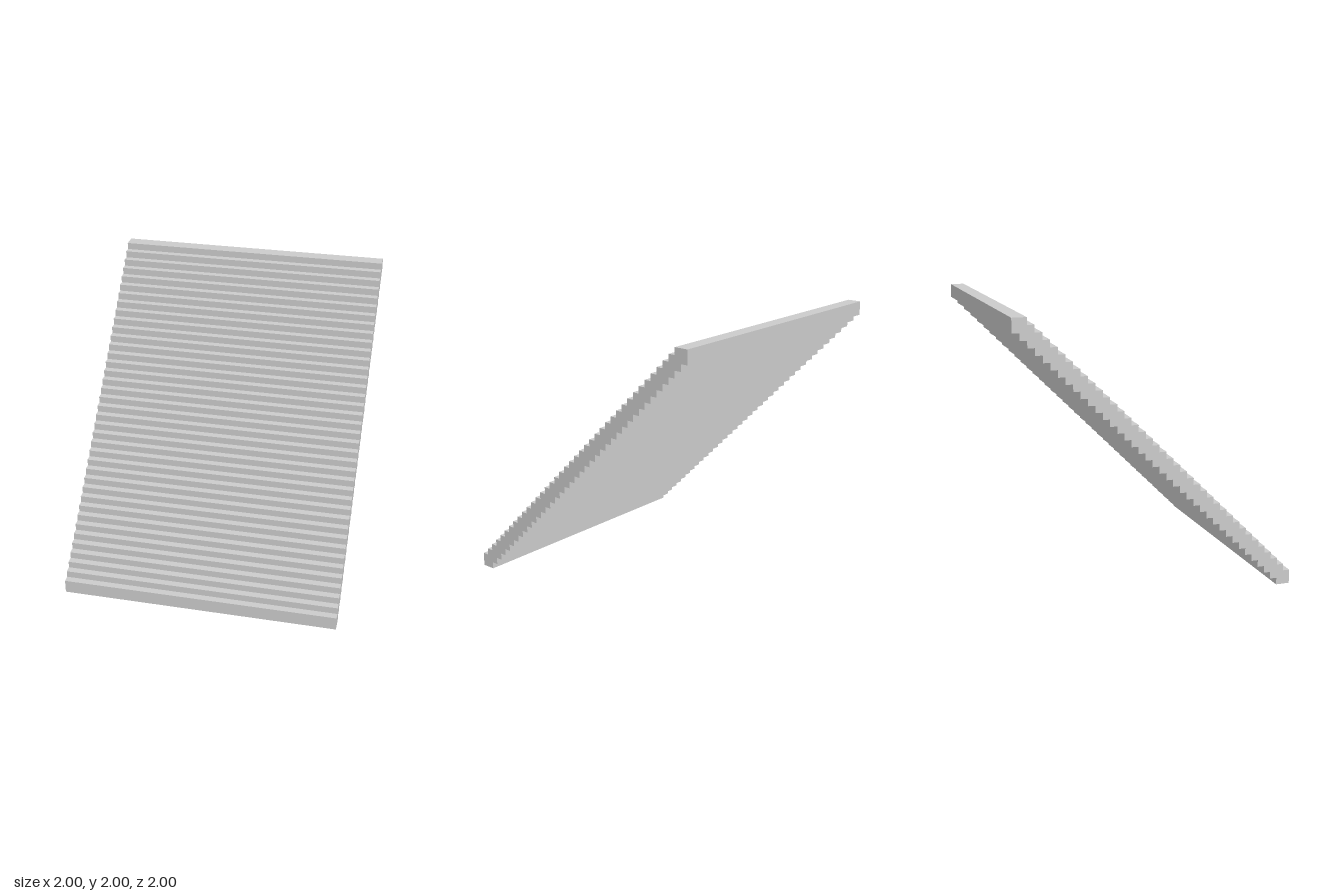
import * as THREE from 'three';

const STEPS = 39;     // overlapping treads
const RISE = 0.05;    // rise and run of each step
const BLOCK = 0.1;    // height and depth of one tread block
const WIDTH = 2;

// Side outline of the stair: x holds depth (front is +), y holds height
function stairProfile() {
  const shape = new THREE.Shape();
  shape.moveTo(1, 0);
  // Upper side, climbing from front to back
  for (let i = 0; i < STEPS; i++) {
    const z = 1 - RISE * i, top = BLOCK + RISE * i;
    shape.lineTo(z, top);
    shape.lineTo(i < STEPS - 1 ? z - RISE : z - BLOCK, top);
  }
  // Stepped underside, descending from back to front
  for (let i = STEPS - 1; i >= 0; i--) {
    const z = 1 - BLOCK - RISE * i, bottom = RISE * i;
    shape.lineTo(z, bottom);
    if (i > 0) shape.lineTo(z + RISE, bottom);
  }
  shape.closePath();
  return shape;
}

export function createModel() {
  const group = new THREE.Group();
  group.name = 'staircase';

  // One solid flight, extruded across the width
  const geometry = new THREE.ExtrudeGeometry(stairProfile(), { depth: WIDTH, bevelEnabled: false });
  geometry.translate(0, 0, -WIDTH / 2);
  geometry.rotateY(-Math.PI / 2);

  const flight = new THREE.Mesh(
    geometry,
    new THREE.MeshStandardMaterial({ color: 0xcccccc, flatShading: true })
  );
  flight.name = 'stairFlight';
  group.add(flight);
  return group;
}
